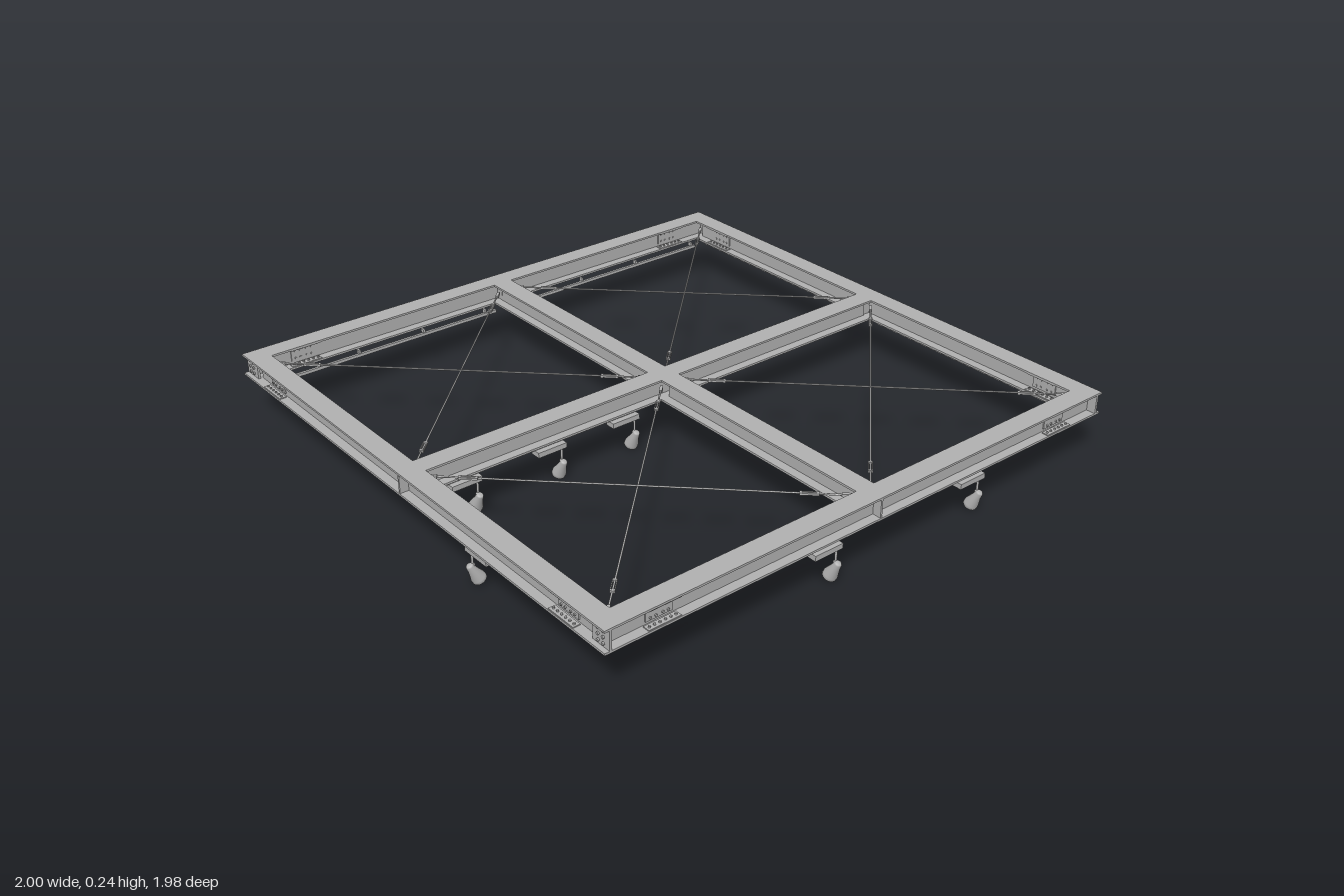
import * as THREE from 'three';

const steel = new THREE.MeshStandardMaterial({ color: 0xb0b0b0 });
steel.name = 'grey steel';

const BOTTOM = 0.163, TOP = 0.24, FLANGE = 0.007, WIDTH = 0.072;
const MID = (BOTTOM + TOP) / 2;
const BACK = -0.96, FRONT = 0.952, SIDE = 0.964;

function mesh(name, geometry, parent, x = 0, y = 0, z = 0) {
  const m = new THREE.Mesh(geometry, steel);
  m.name = name;
  m.position.set(x, y, z);
  parent.add(m);
  return m;
}
const box = (name, w, h, d, parent, x, y, z) =>
  mesh(name, new THREE.BoxGeometry(w, h, d), parent, x, y, z);

// I-section beam running along local x, centred on its own origin
function beam(name, length, webLength = length) {
  const g = new THREE.Group();
  g.name = name;
  box('topFlange', length, FLANGE, WIDTH, g, 0, TOP - FLANGE / 2, 0);
  box('bottomFlange', length, FLANGE, WIDTH, g, 0, BOTTOM + FLANGE / 2, 0);
  box('web', webLength, TOP - BOTTOM - FLANGE, 0.008, g, 0, MID, 0);
  return g;
}

// Bolted splice: web plates, flange plates and rows of bolt heads
function splice(parent, x) {
  const g = new THREE.Group();
  g.name = 'splice';
  g.position.x = x;
  parent.add(g);
  const flangeBolt = new THREE.CylinderGeometry(0.004, 0.004, 0.005, 6);
  const webBolt = flangeBolt.clone().rotateX(Math.PI / 2);
  for (const s of [-1, 1]) {
    box('webPlate', 0.09, 0.045, 0.004, g, 0, MID, s * 0.006);
    for (const y of [TOP - FLANGE - 0.0015, BOTTOM + FLANGE + 0.0015])
      box('flangePlate', 0.11, 0.003, 0.024, g, 0, y, s * 0.022);
    for (let i = 0; i < 6; i++) {
      const bx = -0.045 + i * 0.018;
      for (const y of [TOP - FLANGE - 0.005, BOTTOM + FLANGE + 0.005, BOTTOM - 0.002])
        mesh('flangeBolt', flangeBolt, g, bx, y, s * 0.023);
    }
    for (const bx of [-0.03, -0.012, 0.012, 0.03])
      for (const y of [-0.013, 0.013]) mesh('webBolt', webBolt, g, bx, MID + y, s * 0.009);
  }
}

// Pair of lighting rails with hanging clips, along local x
function rails(parent, offset = 0) {
  for (const s of [-1, 1]) {
    box('lightRail', 0.86, 0.011, 0.01, parent, s * 0.475, 0.146, offset);
    for (const x of [0.09, 0.35, 0.61, 0.89])
      box('railClip', 0.008, 0.014, 0.016, parent, s * x, 0.156, offset - Math.sign(offset) * 0.006);
  }
}

// Spotlight hanging at its origin: adapter trails to -x, lamp aims to -z
function spotlight(x, z, turn = 0) {
  const g = new THREE.Group();
  g.name = 'spotlight';
  g.position.set(x, 0, z);
  g.rotation.y = turn;
  box('adapter', 0.108, 0.018, 0.036, g, -0.046, 0.13, 0);
  mesh('stem', new THREE.CylinderGeometry(0.004, 0.004, 0.055, 10), g, 0, 0.0965, 0);
  mesh('swivel', new THREE.SphereGeometry(0.008, 12, 8), g, 0, 0.068, 0);
  const profile = [[0, 0.035], [0.009, 0.035], [0.012, 0.031], [0.014, 0.012],
    [0.023, -0.022], [0.023, -0.033], [0.02, -0.033], [0.018, -0.028], [0, -0.028]]
    .reverse().map(([r, y]) => new THREE.Vector2(r, y));
  const head = mesh('lampHead', new THREE.LatheGeometry(profile, 20), g, 0, 0.041, -0.005);
  head.rotation.x = 0.5;
  return g;
}

// Tension rod between two plan points, with a turnbuckle near each end
function braceRod(x1, z1, x2, z2, y) {
  const g = new THREE.Group();
  g.name = 'braceRod';
  const length = Math.hypot(x2 - x1, z2 - z1);
  g.position.set((x1 + x2) / 2, y, (z1 + z2) / 2);
  g.rotation.y = -Math.atan2(z2 - z1, x2 - x1);
  mesh('rod', new THREE.CylinderGeometry(0.003, 0.003, length, 8).rotateZ(Math.PI / 2), g);
  for (const s of [-1, 1]) {
    const x = s * (length / 2 - 0.125);
    for (const t of [-1, 1]) {
      box('turnbuckleBar', 0.05, 0.006, 0.003, g, x, 0, t * 0.006);
      box('turnbuckleEnd', 0.008, 0.008, 0.014, g, x + t * 0.025, 0, 0);
    }
    box('fork', 0.035, 0.01, 0.01, g, s * (length / 2 - 0.015), 0, 0);
  }
  return g;
}

export function createModel() {
  const model = new THREE.Group();
  model.name = 'lightingFrame';

  // Front and back beams with bolted end plates
  for (const [name, z] of [['backBeam', BACK], ['frontBeam', FRONT]]) {
    const b = beam(name, 2, 1.96);
    b.position.z = z;
    rails(b, z < 0 ? 0.05 : 0);
    const bolt = new THREE.CylinderGeometry(0.005, 0.005, 0.006, 6).rotateZ(Math.PI / 2);
    for (const s of [-1, 1]) {
      splice(b, s * 0.8);
      box('endPlate', 0.008, TOP - BOTTOM - 2 * FLANGE, WIDTH, b, s * 0.98, MID, 0);
      for (const y of [-0.02, 0, 0.02])
        for (const bz of [-0.011, 0.011]) mesh('endBolt', bolt, b, s * 0.986, MID + y, bz);
      box('stiffener', 0.007, TOP - BOTTOM - 2 * FLANGE, 0.03, b, 0, MID, s * 0.019);
    }
    model.add(b);
  }

  // Side beams
  const span = FRONT - BACK - WIDTH, zMid = (FRONT + BACK) / 2;
  for (const s of [-1, 1]) {
    const b = beam(s > 0 ? 'leftBeam' : 'rightBeam', span);
    b.position.set(s * SIDE, 0, zMid);
    b.rotation.y = Math.PI / 2;
    rails(b);
    for (const t of [-1, 1]) {
      splice(b, t * 0.8);
      box('stiffener', 0.007, TOP - BOTTOM - 2 * FLANGE, 0.03, b, 0, MID, t * 0.019);
    }
    model.add(b);
  }

  // Middle cross beams
  const cross = beam('crossBeam', 2 * SIDE - WIDTH);
  rails(cross);
  model.add(cross);
  for (const [z1, z2] of [[BACK + WIDTH / 2, -WIDTH / 2], [WIDTH / 2, FRONT - WIDTH / 2]]) {
    const b = beam('middleBeam', z2 - z1);
    b.position.z = (z1 + z2) / 2;
    b.rotation.y = Math.PI / 2;
    box('lightRail', 0.86, 0.011, 0.01, b, 0, 0.146, 0);
    for (const x of [-0.4, -0.13, 0.13, 0.4]) box('railClip', 0.008, 0.014, 0.016, b, x, 0.156, 0);
    model.add(b);
  }

  // Crossed tension rods in each of the four bays
  for (const [x1, x2] of [[-0.928, -0.036], [0.036, 0.928]])
    for (const [z1, z2] of [[-0.9, -0.036], [0.036, 0.905]]) {
      model.add(braceRod(x1, z1, x2, z2, 0.221));
      model.add(braceRod(x1, z2, x2, z1, 0.215));
    }

  // Spotlights
  for (const x of [-0.735, -0.418, -0.125]) model.add(spotlight(x, 0.005));
  for (const x of [-0.15, 0.456]) model.add(spotlight(x, 0.96));
  model.add(spotlight(-0.96, 0.315, -Math.PI / 2).rotateY(0));
  const sideLamp = model.children[model.children.length - 1];
  sideLamp.getObjectByName('adapter').position.x = 0.046;

  return model;
}
